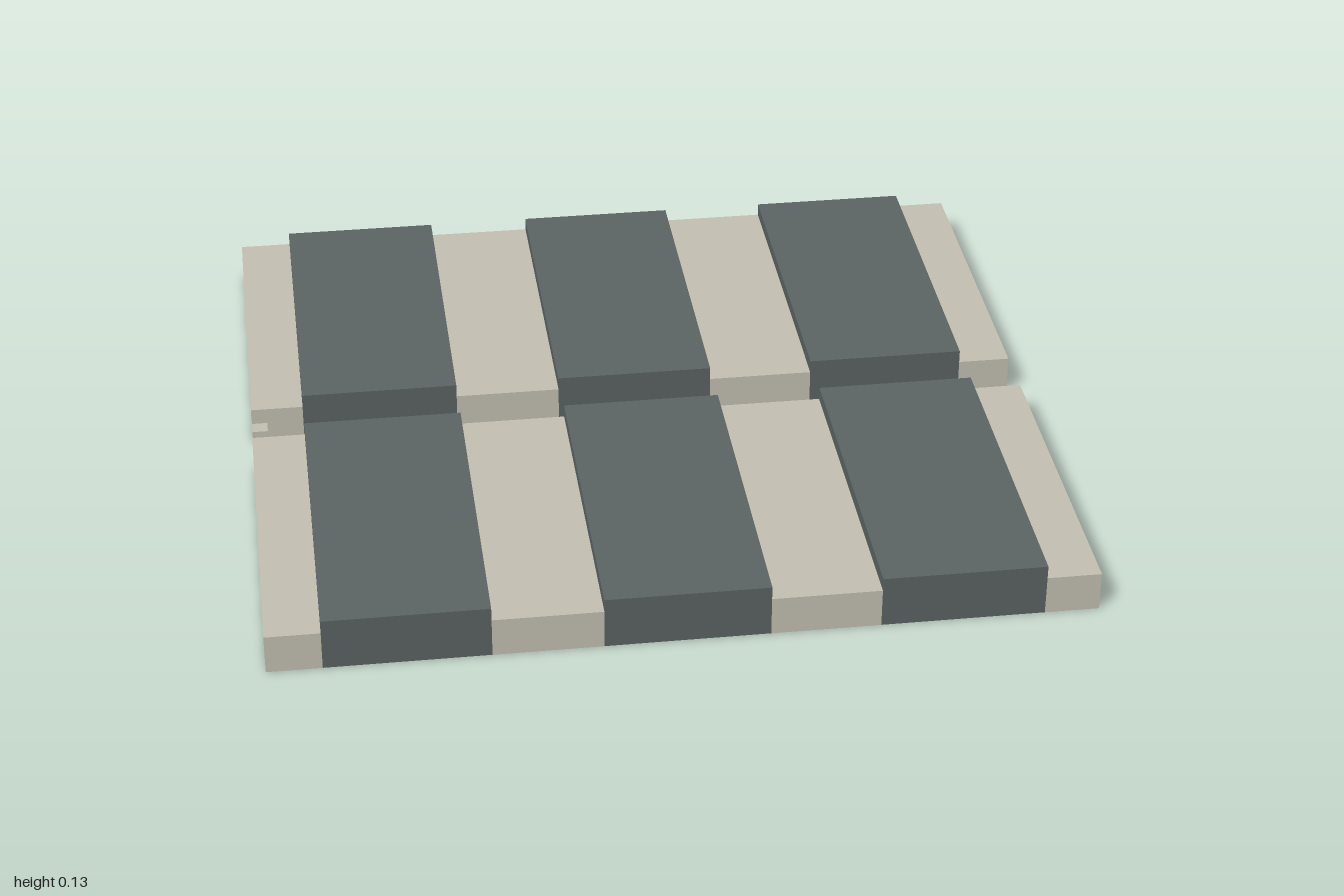
import * as THREE from 'three';

const U = 1 / 15; // layout unit
const H = 0.1, RAISED = 2 * U;
const LEN = 13 * U; // panel length along z
const NOTCH = 0.04;

export function createModel() {
  const stone = new THREE.MeshStandardMaterial({ color: 0xc4c0b3 });
  stone.name = 'pale stone';
  const slate = new THREE.MeshStandardMaterial({ color: 0x5c6464 });
  slate.name = 'dark slate';

  const add = (parent, name, geometry, material) => {
    const mesh = new THREE.Mesh(geometry, material);
    mesh.name = name;
    parent.add(mesh);
    return mesh;
  };
  const slab = (parent, name, x0, x1, h, mat, z0 = -LEN / 2, z1 = LEN / 2) => {
    const mesh = add(parent, name, new THREE.BoxGeometry(x1 - x0, h, z1 - z0), mat);
    mesh.position.set((x0 + x1) / 2, h / 2, (z0 + z1) / 2);
  };

  // C-shaped cross-section for the notched corners
  const notchProfile = new THREE.Shape([
    [-1, 0], [-13 * U, 0], [-13 * U, H], [-1, H], [-1, 0.067],
    [-1 + NOTCH, 0.067], [-1 + NOTCH, 0.033], [-1, 0.033],
  ].map(([x, y]) => new THREE.Vector2(x, y)));

  const panel = (name, z, notchFront) => {
    const g = new THREE.Group();
    g.name = name;
    g.position.z = z;

    // Raised dark slabs
    for (const [a, b] of [[-13, -7], [-3, 3], [7, 13]]) slab(g, 'raisedSlab', a * U, b * U, RAISED, slate);
    // Lower pale strips
    for (const [a, b] of [[-7, -3], [3, 7], [13, 15]]) slab(g, 'paleStrip', a * U, b * U, H, stone);

    // End strip with small corner notches
    const z0 = -LEN / 2 + NOTCH;
    const z1 = LEN / 2 - (notchFront ? NOTCH : 0);
    slab(g, 'endStrip', -1, -13 * U, H, stone, z0, z1);
    for (const start of notchFront ? [-LEN / 2, z1] : [-LEN / 2]) {
      const corner = new THREE.ExtrudeGeometry(notchProfile, { depth: NOTCH, bevelEnabled: false });
      add(g, 'notchedCorner', corner, stone).position.z = start;
    }
    return g;
  };

  const model = new THREE.Group();
  model.name = 'stripedPanels';
  model.add(panel('backPanel', -7.5 * U, true), panel('frontPanel', 7.5 * U, false));
  return model;
}
